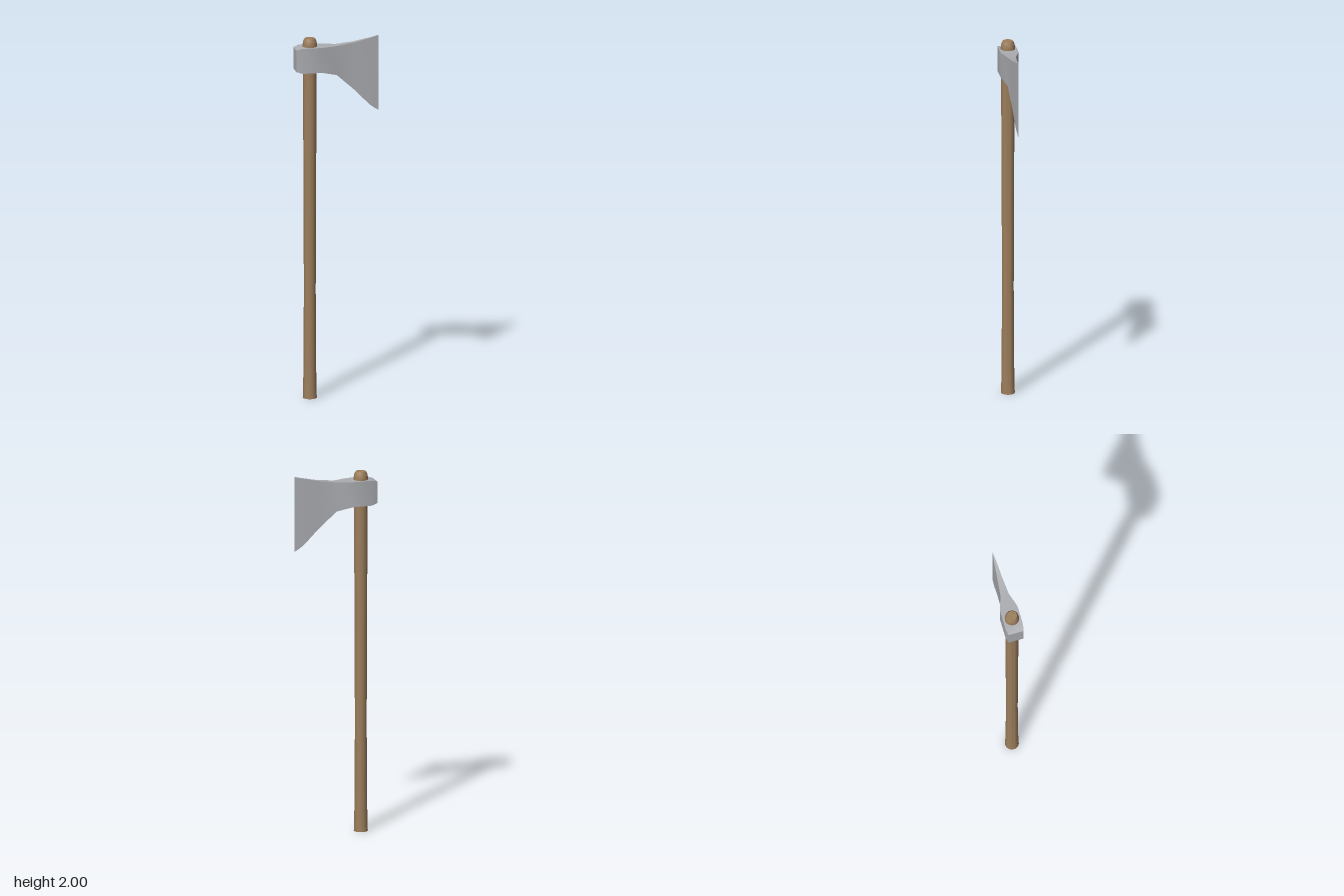
import * as THREE from 'three';
import { toCreasedNormals } from 'three/addons/utils/BufferGeometryUtils.js';

const HANDLE_X = -0.148;

// Skins a row of rectangular sections [x, half thickness, top, bottom]
function loftHead(sections) {
  const positions = [];
  const indices = [];
  for (const [x, h, top, bottom] of sections) {
    positions.push(x, top, h, x, bottom, h, x, bottom, -h, x, top, -h);
  }
  for (let i = 0; i < sections.length - 1; i++) {
    for (let j = 0; j < 4; j++) {
      const a = i * 4 + j;
      const b = i * 4 + (j + 1) % 4;
      indices.push(a, b, b + 4, a, b + 4, a + 4);
    }
  }
  const e = (sections.length - 1) * 4;
  indices.push(0, 3, 2, 0, 2, 1, e, e + 1, e + 2, e, e + 2, e + 3);
  const geometry = new THREE.BufferGeometry();
  geometry.setAttribute('position', new THREE.Float32BufferAttribute(positions, 3));
  geometry.setIndex(indices);
  return toCreasedNormals(geometry, 0.6);
}

export function createModel() {
  const wood = new THREE.MeshStandardMaterial({ color: 0x9c7e5c });
  wood.name = 'wood';
  const steel = new THREE.MeshStandardMaterial({ color: 0xacadb1 });
  steel.name = 'steel';

  const group = new THREE.Group();
  group.name = 'axe';

  // Slightly waisted handle with a flared foot and a bevelled tip
  const profile = [
    [0, 0], [0.038, 0], [0.036, 0.05], [0.034, 0.2], [0.032, 0.6],
    [0.034, 1.2], [0.036, 1.6], [0.036, 1.8], [0.039, 1.965],
    [0.036, 1.985], [0.028, 2], [0, 2],
  ].map(([r, y]) => new THREE.Vector2(r, y));
  const handle = new THREE.Mesh(
    toCreasedNormals(new THREE.LatheGeometry(profile, 14), 0.7), wood);
  handle.name = 'handle';
  handle.position.x = HANDLE_X;
  group.add(handle);

  // Head: chamfered poll, straight eye, then cheeks thinning to the edge
  const head = new THREE.Mesh(loftHead([
    [-0.23, 0.042, 1.945, 1.826],
    [-0.197, 0.049, 1.955, 1.816],
    [-0.088, 0.049, 1.955, 1.816],
    [-0.004, 0.023, 1.955, 1.793],
    [0.095, 0.013, 1.968, 1.703],
    [0.175, 0.007, 1.986, 1.62],
    [0.2, 0.004, 1.992, 1.6],
    [0.229, 0.001, 2, 1.582],
  ]), steel);
  head.name = 'axeHead';
  group.add(head);

  return group;
}
